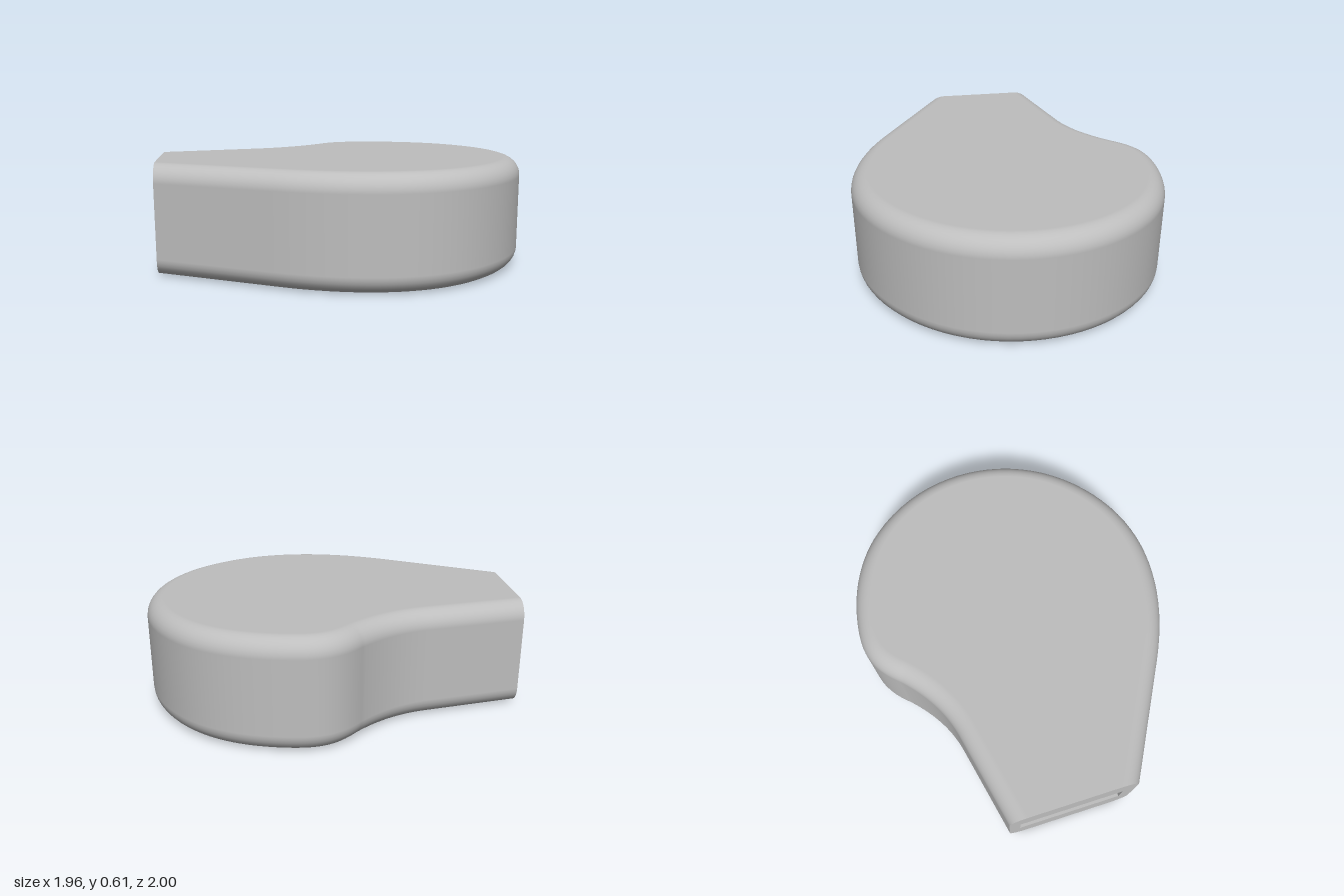
import * as THREE from 'three';

const HEIGHT = 0.61, FILLET = 0.1, STEPS = 8;
const A = new THREE.Vector2(-0.98, 0.51), B = new THREE.Vector2(-0.46, 1.0); // mouth corners (x, z)
const mouthDir = B.clone().sub(A).normalize();

// Plan outline in (x, z), from one mouth corner around the back to the other
function outline() {
  const path = new THREE.Path();
  path.moveTo(A.x, A.y);
  path.lineTo(-0.70, 0.04);
  path.bezierCurveTo(-0.63, -0.08, -0.595, -0.22, -0.60, -0.40); // concave waist
  path.bezierCurveTo(-0.62, -0.58, -0.56, -0.677, -0.447, -0.775); // shoulder
  path.bezierCurveTo(-0.288, -0.912, -0.10, -1, 0.11, -1); // round chamber
  path.bezierCurveTo(0.59, -1, 0.975, -0.61, 0.975, -0.13);
  path.bezierCurveTo(0.975, 0.34, 0.66, 0.644, 0.20, 0.79);
  path.lineTo(B.x, B.y);
  const pts = [];
  path.curves.forEach((curve, k) => {
    const n = curve.isLineCurve ? 1 : 20;
    const last = k === path.curves.length - 1 ? 1 : 0;
    for (let i = 0; i < n + last; i++) {
      const t = curve.getTangent(i / n);
      pts.push({ p: curve.getPoint(i / n), out: new THREE.Vector2(t.y, -t.x) });
    }
  });
  // Inset directions; the ends slide along the mouth plane
  pts.forEach(q => { q.inset = q.out.clone().negate(); });
  const first = pts[0], end = pts[pts.length - 1];
  first.inset = mouthDir.clone().divideScalar(mouthDir.dot(first.inset));
  end.inset = mouthDir.clone().divideScalar(mouthDir.dot(end.inset));
  return pts;
}

// Edge profile from bottom to top: inset, height and normal angle
function profile() {
  const levels = [];
  for (const top of [0, 1]) {
    for (let i = 0; i <= STEPS; i++) {
      const a = (i / STEPS - 1 + top) * Math.PI / 2;
      const mid = top ? HEIGHT - FILLET : FILLET;
      levels.push({ inset: FILLET * (1 - Math.cos(a)), y: mid + FILLET * Math.sin(a), a });
    }
  }
  return levels;
}

// Side wall swept along the outline with rounded upper and lower edges
function wallGeometry(pts, levels) {
  const pos = [], nor = [], idx = [], m = levels.length;
  pts.forEach(({ p, out, inset }, i) => levels.forEach((l, j) => {
    pos.push(p.x + inset.x * l.inset, l.y, p.y + inset.y * l.inset);
    nor.push(out.x * Math.cos(l.a), Math.sin(l.a), out.y * Math.cos(l.a));
    if (i < pts.length - 1 && j < m - 1) {
      const a = i * m + j, b = a + m;
      idx.push(a, a + 1, b, b, a + 1, b + 1);
    }
  }));
  const g = new THREE.BufferGeometry();
  g.setAttribute('position', new THREE.Float32BufferAttribute(pos, 3));
  g.setAttribute('normal', new THREE.Float32BufferAttribute(nor, 3));
  g.setIndex(idx);
  return g;
}

// Flat cap: side = 1 faces up, -1 faces down
function capGeometry(pts, side) {
  const shape = new THREE.Shape(pts.map(({ p, inset }) =>
    new THREE.Vector2(p.x + inset.x * FILLET, -side * (p.y + inset.y * FILLET))));
  return new THREE.ShapeGeometry(shape).rotateX(-side * Math.PI / 2);
}

export function createModel() {
  const model = new THREE.Group();
  const grey = new THREE.MeshStandardMaterial({ color: 0xbebebe });
  grey.name = 'grey';
  const add = (parent, name, geometry) => {
    const mesh = new THREE.Mesh(geometry, grey);
    mesh.name = name;
    parent.add(mesh);
    return mesh;
  };

  const pts = outline(), levels = profile();
  add(model, 'bodyWall', wallGeometry(pts, levels));
  add(model, 'topFace', capGeometry(pts, 1)).position.y = HEIGHT;
  add(model, 'bottomFace', capGeometry(pts, -1));

  // Mouth end, in its own frame: x along the mouth, z pointing outward
  const mouth = new THREE.Group();
  mouth.name = 'mouth';
  mouth.position.set(A.x, 0, A.y);
  mouth.rotation.y = -Math.atan2(mouthDir.y, mouthDir.x);
  model.add(mouth);

  const width = A.distanceTo(B);
  const k0 = pts[0].inset.length(), k1 = pts[pts.length - 1].inset.length();
  const left = levels.map(l => new THREE.Vector2(l.inset * k0, l.y));
  const right = levels.map(l => new THREE.Vector2(width - l.inset * k1, l.y));
  const face = new THREE.Shape([...right, ...left.reverse()]);
  const u0 = 0.06, u1 = 0.64, v0 = 0.22, v1 = 0.395, depth = 0.75;
  face.holes.push(new THREE.Path([[u0, v0], [u0, v1], [u1, v1], [u1, v0]]
    .map(([u, v]) => new THREE.Vector2(u, v))));
  add(mouth, 'mouthFace', new THREE.ShapeGeometry(face));

  // Slot: a box turned inside out, without its outer face
  const slot = new THREE.BoxGeometry(u1 - u0, v1 - v0, depth).scale(1, 1, -1);
  slot.setIndex([...slot.index.array].slice(0, 30));
  slot.clearGroups();
  slot.computeVertexNormals();
  add(mouth, 'airSlot', slot).position.set((u0 + u1) / 2, (v0 + v1) / 2, -depth / 2);

  return model;
}
